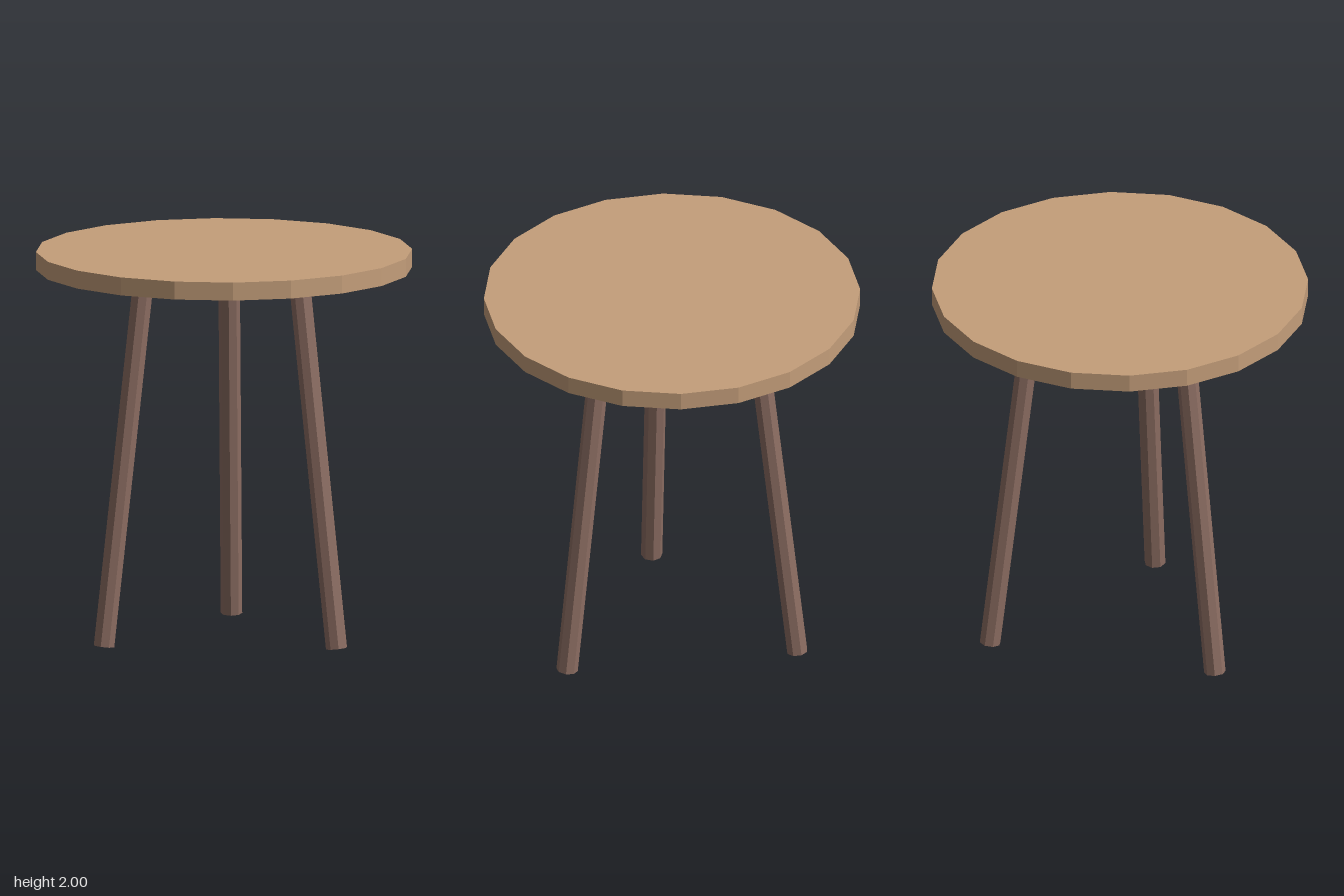
import * as THREE from 'three';

export function createModel() {
  const model = new THREE.Group();
  model.name = 'stool';

  const seatMaterial = new THREE.MeshStandardMaterial({ color: 0xc49e7a, flatShading: true });
  const legMaterial = new THREE.MeshStandardMaterial({ color: 0x8d6e63, flatShading: true });

  // Round seat, twenty sides
  const seat = new THREE.Mesh(new THREE.CylinderGeometry(0.96, 0.96, 0.093, 20), seatMaterial);
  seat.name = 'seat';
  seat.position.y = 1.9535;
  model.add(seat);

  // Three splayed legs, ending just below the seat
  const top = new THREE.Vector3(0.46, 1.88, 0);
  const foot = new THREE.Vector3(0.685, 0.0066, 0);
  const axis = top.clone().sub(foot);
  const legGeometry = new THREE.CylinderGeometry(0.055, 0.055, axis.length(), 8);

  ['leftLeg', 'backRightLeg', 'frontRightLeg'].forEach((name, i) => {
    const pivot = new THREE.Group();
    pivot.name = name;
    pivot.rotation.y = (i * Math.PI * 2) / 3;
    const leg = new THREE.Mesh(legGeometry, legMaterial);
    leg.name = name + 'Post';
    leg.position.addVectors(top, foot).multiplyScalar(0.5);
    leg.rotation.z = Math.atan2(-axis.x, axis.y);
    pivot.add(leg);
    model.add(pivot);
  });

  return model;
}
